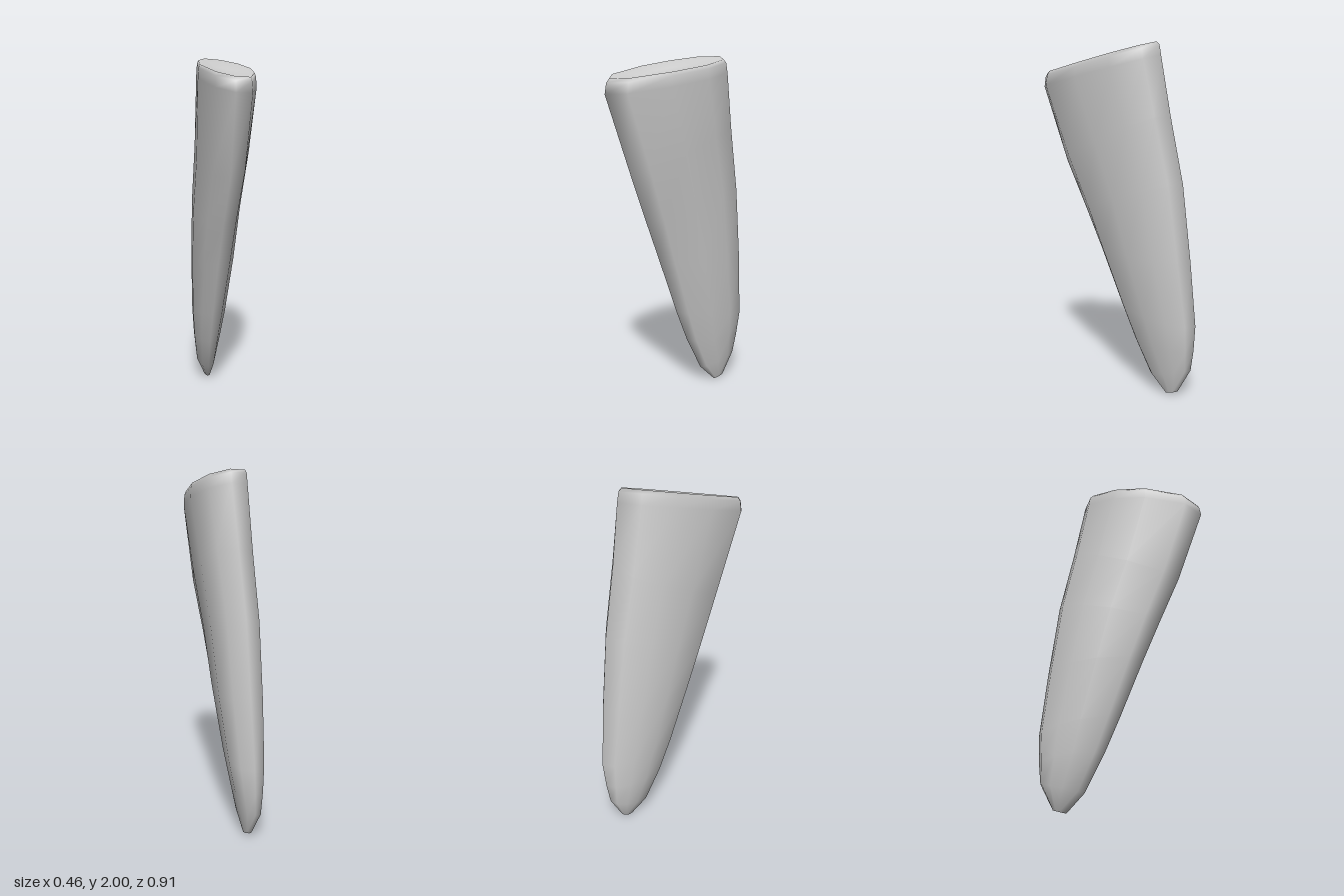
import * as THREE from 'three';

// Cross-section outline, normalised: u across x, v from back (0) to front (1)
const OUTLINE = [
  [0.81, 1], [1, 0.86], [0.97, 0.53], [0.83, 0.23], [0.55, 0.03],
  [0.23, 0], [0, 0.14], [0, 0.39], [0.14, 0.66], [0.5, 0.94],
];

// Body sections, downwards: back y, front y, x min, x max, z min, z max
const SECTIONS = [
  [1.60, 1.34, -0.165, 0.175, -0.33, 0.31],
  [1.23, 1.07, -0.20, 0.115, -0.39, 0.21],
  [0.80, 0.83, -0.22, 0.065, -0.43, 0.12],
  [0.43, 0.50, -0.23, 0.00, -0.455, 0.00],
  [0.28, 0.30, -0.225, -0.04, -0.44, -0.08],
  [0.16, 0.10, -0.215, -0.08, -0.42, -0.18],
  [0.02, 0.00, -0.165, -0.12, -0.35, -0.28],
];

// Slanted plane of the top end
const topY = (x, z) => 1.948 - 0.195 * x - 0.144 * z;

// Ring around the top end, shrunk by `scale` and dropped below the slanted plane
function topRing(scale, drop) {
  return OUTLINE.map(([u, v]) => {
    const x = 0.048 + (u * 0.365 - 0.183) * scale;
    const z = 0.085 + (v * 0.745 - 0.3725) * scale;
    return [x, topY(x, z) - drop, z];
  });
}

function bodyRing([yBack, yFront, x0, x1, z0, z1]) {
  return OUTLINE.map(([u, v]) => [
    x0 + u * (x1 - x0), yBack + v * (yFront - yBack), z0 + v * (z1 - z0),
  ]);
}

// Skin over rings listed from top to bottom, closed by a centre point at each end
function loft(rings) {
  const n = rings[0].length;
  const points = rings.flat();
  const index = [];
  const centre = (ring) => [0, 1, 2].map((k) => ring.reduce((s, p) => s + p[k], 0) / n);
  for (let r = 0; r < rings.length - 1; r++) {
    for (let i = 0; i < n; i++) {
      const a = r * n + i, b = r * n + (i + 1) % n;
      index.push(a + n, b + n, b, a + n, b, a);
    }
  }
  const top = points.length, bottom = top + 1, last = (rings.length - 1) * n;
  points.push(centre(rings[0]), centre(rings[rings.length - 1]));
  for (let i = 0; i < n; i++) {
    const j = (i + 1) % n;
    index.push(top, i, j, bottom, last + j, last + i);
  }
  const geometry = new THREE.BufferGeometry();
  geometry.setAttribute('position', new THREE.Float32BufferAttribute(points.flat(), 3));
  geometry.setIndex(index);
  geometry.computeVertexNormals();
  return geometry;
}

export function createModel() {
  const group = new THREE.Group();
  group.name = 'taperedShard';
  const material = new THREE.MeshStandardMaterial({ color: 0xcccccc });

  // Slightly dished top, bevelled rim, then the tapering body down to the tip
  const rings = [
    topRing(0.45, 0.025),
    topRing(0.93, 0),
    topRing(0.975, 0.02),
    topRing(1, 0.075),
    ...SECTIONS.map(bodyRing),
  ];
  const body = new THREE.Mesh(loft(rings), material);
  body.name = 'taperedBody';
  group.add(body);
  return group;
}
